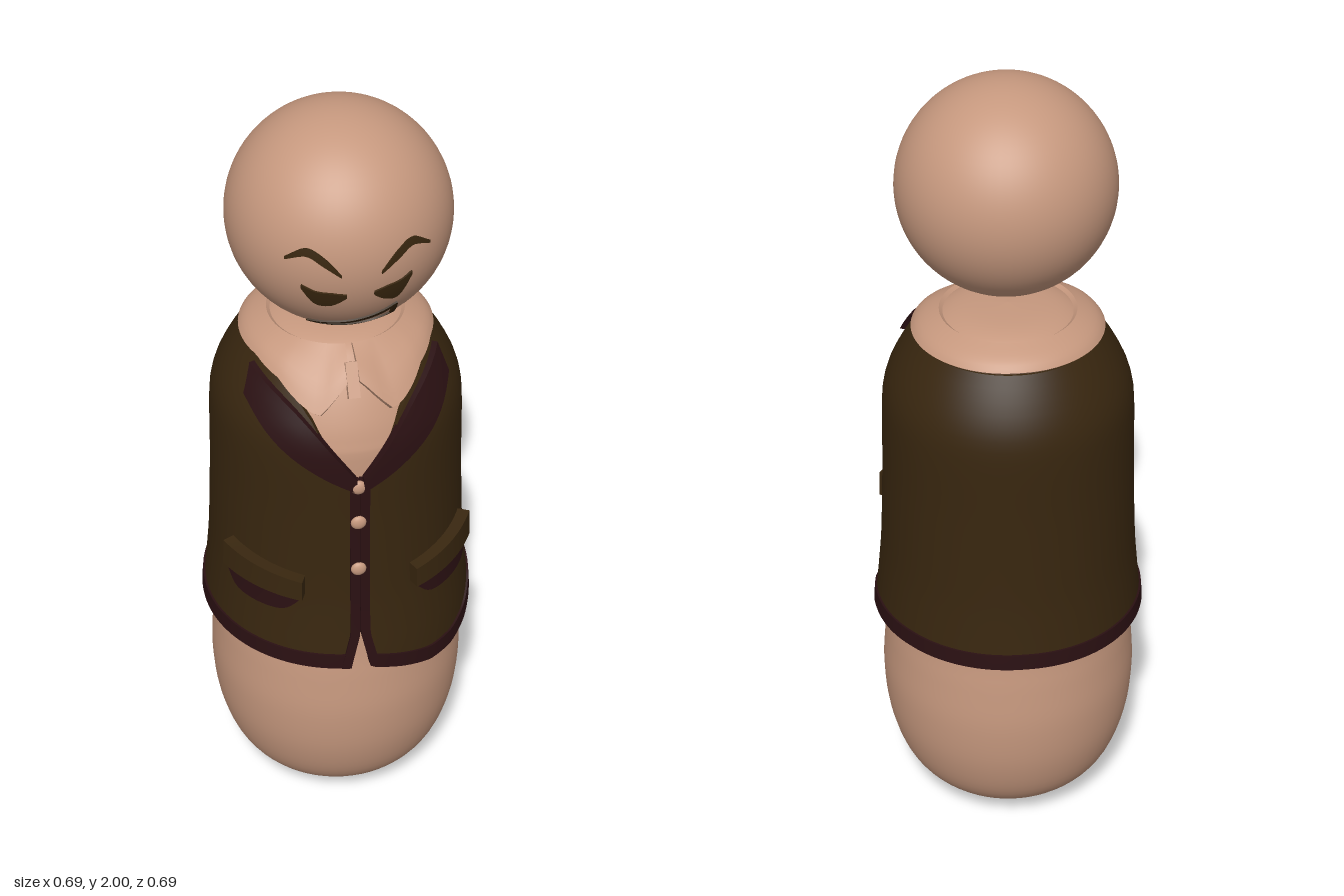
import * as THREE from 'three';

const { lerp, clamp } = THREE.MathUtils;
const mat = (name, color, side = THREE.FrontSide) => {
  const m = new THREE.MeshStandardMaterial({ color, side });
  m.name = name;
  return m;
};

// Radius of the jacket by height, read from a smooth profile
const profile = new THREE.SplineCurve([
  [0.50, 0.343], [0.60, 0.337], [0.70, 0.327], [0.80, 0.319], [1.0, 0.311], [1.18, 0.307],
  [1.25, 0.297], [1.31, 0.272], [1.37, 0.236], [1.42, 0.20],
].map(p => new THREE.Vector2(...p))).getPoints(90);
function table(points, t) {
  let i = 1;
  while (i < points.length - 1 && points[i].x < t) i++;
  const a = points[i - 1], b = points[i];
  return lerp(a.y, b.y, clamp((t - a.x) / (b.x - a.x), 0, 1));
}
const jacketR = y => table(profile, y);
const vec2s = list => list.map(p => new THREE.Vector2(...p));

// Angle is measured from the front (+z) towards +x
const polar = (r, angle, y) => new THREE.Vector3(r * Math.sin(angle), y, r * Math.cos(angle));

export function createModel() {
  const model = new THREE.Group();
  const skin = mat('peach', 0xc6987e);
  const brown = mat('dark brown', 0x38260f);
  const maroon = mat('dark maroon', 0x2a1012);

  const add = (name, geometry, material, parent = model) => {
    const mesh = new THREE.Mesh(geometry, material);
    mesh.name = name;
    parent.add(mesh);
    return mesh;
  };

  // A box bent by a rule: u to the right, v up, w outwards, each from 0 to 1
  function warp(name, material, nu, nv, rule, parent) {
    const g = new THREE.BoxGeometry(1, 1, 1, nu, nv, 1);
    const p = g.attributes.position;
    for (let i = 0; i < p.count; i++) {
      const q = rule(p.getX(i) + 0.5, p.getY(i) + 0.5, p.getZ(i) + 0.5);
      p.setXYZ(i, q.x, q.y, q.z);
    }
    g.computeVertexNormals();
    return add(name, g, material, parent);
  }

  // A plate between a lower and an upper edge, laid on a surface
  function plate(name, material, lower, upper, surface, t0, t1, parent) {
    const lo = new THREE.SplineCurve(vec2s(lower)), up = new THREE.SplineCurve(vec2s(upper));
    return warp(name, material, 16, 4, (u, v, w) => {
      const q = lo.getPoint(u).lerp(up.getPoint(u), v);
      return surface(q.x, q.y, lerp(t0, t1, w));
    }, parent);
  }
  const mirror = list => list.map(([x, y]) => [-x, y]).reverse();

  const onJacket = (angle, y, t) => polar(jacketR(y) + t, angle, y);
  const onChest = (x, y, t) => onJacket(Math.asin(clamp(x / jacketR(y), -1, 1)), y, t);

  // Body
  const bodyCurve = new THREE.SplineCurve(vec2s([
    [0, 0], [0.10, 0.012], [0.20, 0.06], [0.27, 0.135], [0.31, 0.25], [0.323, 0.38], [0.316, 0.50],
    [0.306, 0.60], [0.296, 0.80], [0.293, 1.15], [0.283, 1.23], [0.256, 1.30], [0.215, 1.37],
    [0.175, 1.418], [0.11, 1.443], [0, 1.45],
  ])).getPoints(70);
  bodyCurve.forEach(p => { p.x = Math.max(p.x, 0); });
  add('body', new THREE.LatheGeometry(bodyCurve, 64), skin);

  // Head
  const head = new THREE.Group();
  head.name = 'head';
  head.position.set(-0.003, 1.737, 0.055);
  model.add(head);
  const headR = 0.263;
  add('headBall', new THREE.SphereGeometry(headR, 64, 40), skin, head);

  // Face plates, drawn in front coordinates and laid on the head ball
  const onHead = (x, y, t) => {
    const dx = x - head.position.x, dy = y - head.position.y;
    const z = Math.sqrt(headR * headR - dx * dx - dy * dy);
    return new THREE.Vector3(dx, dy, z).multiplyScalar((headR + t) / headR);
  };
  const face = (name, lower, upper) => plate(name, brown, lower, upper, onHead, -0.003, 0.004, head);
  const browLow = [[0.045, 1.723], [0.085, 1.752], [0.12, 1.772], [0.163, 1.755]];
  const browHigh = [[0.045, 1.729], [0.08, 1.770], [0.12, 1.791], [0.163, 1.762]];
  face('leftBrow', browLow, browHigh);
  face('rightBrow', mirror(browLow), mirror(browHigh));
  face('leftEye', [[0.03, 1.665], [0.055, 1.645], [0.088, 1.64], [0.118, 1.695]],
    [[0.03, 1.675], [0.06, 1.684], [0.09, 1.69], [0.118, 1.705]]);
  face('rightEye', [[-0.13, 1.685], [-0.10, 1.642], [-0.065, 1.638], [-0.032, 1.663]],
    [[-0.13, 1.695], [-0.10, 1.68], [-0.065, 1.677], [-0.032, 1.672]]);
  face('upperLip', [[-0.105, 1.545], [-0.02, 1.551], [0.045, 1.572], [0.09, 1.600]],
    [[-0.105, 1.552], [-0.02, 1.563], [0.045, 1.586], [0.09, 1.612]]);
  face('lowerLip', [[-0.105, 1.543], [-0.03, 1.527], [0.04, 1.526], [0.093, 1.552]],
    [[-0.105, 1.550], [-0.03, 1.538], [0.04, 1.538], [0.093, 1.564]]);
  face('mouthCorner', [[0.081, 1.552], [0.093, 1.552]], [[0.080, 1.602], [0.092, 1.608]]);

  // Jacket: a wrapped shell with a V neck, a front slit and a dipped left hem
  const fold = a => Math.min(a, 2 * Math.PI - a);
  const neckLine = vec2s([[0, 1.13], [0.165, 1.20], [0.36, 1.29], [0.52, 1.335], [0.72, 1.37], [0.95, 1.385], [3.2, 1.385]]);
  const hemLine = vec2s([[0, 0.575], [0.25, 0.55], [0.5, 0.528], [0.75, 0.526], [1.0, 0.543], [1.3, 0.578],
    [1.6, 0.598], [2.2, 0.606], [3.14, 0.608], [4.4, 0.597], [5.0, 0.588], [6.28, 0.58]]);
  const slit = y => 0.02 + 0.07 * clamp((0.68 - y) / 0.1, 0, 1);
  const wrap = (u, y) => lerp(slit(y), 2 * Math.PI - slit(y), u);
  warp('jacket', brown, 120, 28, (u, v, w) => {
    const a = u * 2 * Math.PI;
    const y = lerp(table(hemLine, a), table(neckLine, fold(a)), v);
    return onJacket(wrap(u, y), y, lerp(-0.012, 0, w));
  });
  warp('hemBand', maroon, 120, 2, (u, v, w) => {
    const y = table(hemLine, u * 2 * Math.PI) + lerp(-0.004, 0.036, v);
    return onJacket(wrap(u, y), y, lerp(-0.022, 0.005, w));
  });

  // Front edges, lapels and pockets on both sides
  const lapelOuter = [[0.008, 1.112], [0.08, 1.155], [0.15, 1.205], [0.20, 1.255], [0.235, 1.31]];
  const lapelInner = [[0.008, 1.150], [0.055, 1.215], [0.105, 1.28], [0.15, 1.325], [0.213, 1.37]];
  const flapLow = [[0.42, 0.795], [1.10, 0.81]], flapHigh = [[0.42, 0.85], [1.10, 0.88]];
  const pocketLow = [[0.45, 0.785], [0.60, 0.748], [0.95, 0.752], [1.08, 0.79]];
  const pocketHigh = [[0.45, 0.81], [0.65, 0.82], [0.90, 0.82], [1.08, 0.825]];
  for (const s of [1, -1]) {
    const side = s > 0 ? 'left' : 'right';
    const m = list => (s > 0 ? list : mirror(list));
    warp(side + 'FrontEdge', maroon, 2, 24, (u, v, w) => {
      const y = lerp(0.576, 1.14, v);
      const x = (slit(y) - 0.018) * 0.33 + 0.023 * (s > 0 ? u : 1 - u);
      return onChest(s * x, y, lerp(-0.014, 0.007, w));
    });
    plate(side + 'Lapel', maroon, m(lapelOuter), m(lapelInner), onChest, -0.006, 0.014);
    plate(side + 'PocketFlap', brown, m(flapLow), m(flapHigh), onJacket, -0.005, 0.03);
    plate(side + 'Pocket', maroon, m(pocketLow), m(pocketHigh), onJacket, -0.005, 0.018);
  }

  // Buttons
  for (const y of [1.125, 1.02, 0.88]) {
    const button = add('button', new THREE.SphereGeometry(0.019, 20, 12), skin);
    button.scale.z = 0.55;
    button.position.set(-0.004, y, jacketR(y) + 0.007);
  }

  // Shirt collar with two points at the front
  const collarEdge = vec2s([[0, 1.385], [0.12, 1.36], [0.32, 1.305], [0.45, 1.32], [0.75, 1.365], [1.1, 1.385], [3.2, 1.39]]);
  warp('collar', skin, 96, 6, (u, v, w) => {
    const a = lerp(0.05, 2 * Math.PI - 0.05, u);
    const y0 = table(collarEdge, fold(a));
    const r = lerp(jacketR(y0) + 0.008, 0.165, v) + 0.012 * Math.sin(v * Math.PI);
    return polar(r + lerp(-0.012, 0, w), a, lerp(y0, 1.432, v) + lerp(-0.006, 0.004, w));
  });
  const knot = add('collarKnot', new THREE.BoxGeometry(0.028, 0.085, 0.02), skin);
  knot.position.set(-0.004, 1.378, 0.232);
  knot.rotation.x = -0.6;

  return model;
}
